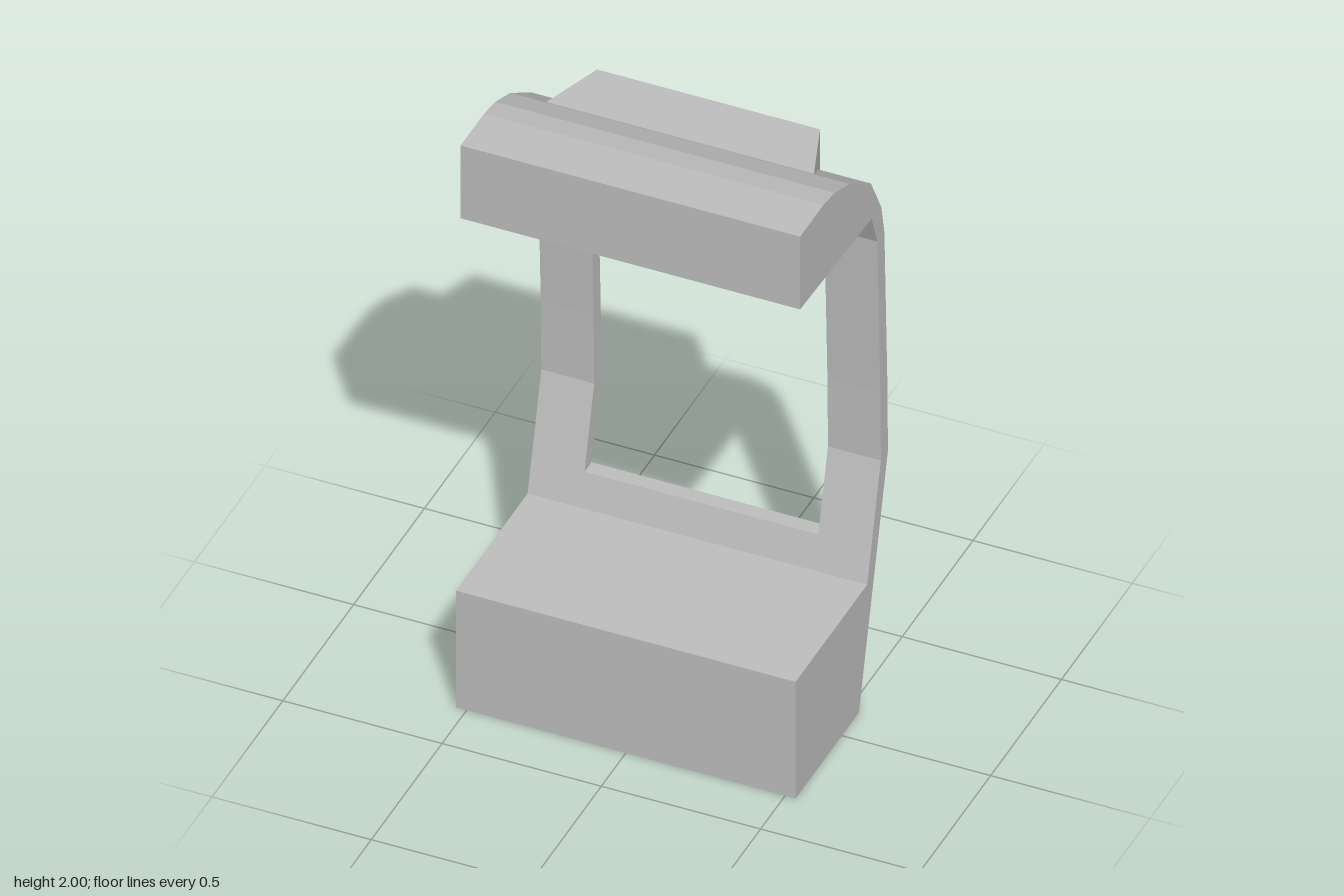
import * as THREE from 'three';

const HALF_WIDTH = 0.533;
const WINDOW = 0.367;

// Extrudes a [z, y] side profile across x from x0 to x1.
function sideExtrude(points, x0, x1) {
  const shape = new THREE.Shape(points.map(([z, y]) => new THREE.Vector2(z, y)));
  const geo = new THREE.ExtrudeGeometry(shape, { depth: x1 - x0, bevelEnabled: false });
  geo.rotateY(-Math.PI / 2);
  geo.translate(x1, 0, 0);
  return geo;
}

export function createModel() {
  const group = new THREE.Group();
  const grey = new THREE.MeshStandardMaterial({ color: 0xc0c0c0 });
  grey.name = 'grey';

  const add = (name, geo) => {
    const mesh = new THREE.Mesh(geo, grey);
    mesh.name = name;
    group.add(mesh);
  };

  // Base block with the sloped lower back, up to the window sill
  add('base', sideExtrude([
    [0.327, 0], [0.327, 0.42], [-0.178, 0.42], [-0.207, 0.53], [-0.256, 0.53], [-0.12, 0],
  ], -HALF_WIDTH, HALF_WIDTH));

  // Bent posts on either side of the window
  const post = [
    [-0.207, 0.53], [-0.275, 0.8], [-0.271, 1.05], [-0.25, 1.605],
    [-0.3, 1.605], [-0.321, 1.05], [-0.325, 0.8], [-0.256, 0.53],
  ];
  add('leftPost', sideExtrude(post, WINDOW, HALF_WIDTH));
  add('rightPost', sideExtrude(post, -HALF_WIDTH, -WINDOW));

  // Solid hood with a faceted, curved back
  add('hood', sideExtrude([
    [-0.25, 1.605], [-0.21, 1.715], [0.295, 1.738], [0.295, 2], [0.13, 2], [0.05, 1.988],
    [-0.055, 1.947], [-0.205, 1.845], [-0.278, 1.71], [-0.3, 1.605],
  ], -HALF_WIDTH, HALF_WIDTH));

  // Tapered housing standing out of the back of the hood
  const plan = new THREE.Shape([
    [-0.42, 0.057], [0.42, 0.057], [0.35, 0.257], [-0.35, 0.257],
  ].map(([x, y]) => new THREE.Vector2(x, y)));
  const housing = new THREE.ExtrudeGeometry(plan, { depth: 0.208, bevelEnabled: false });
  housing.rotateX(-Math.PI / 2);
  housing.translate(0, 1.74, 0);
  add('rearHousing', housing);

  return group;
}
